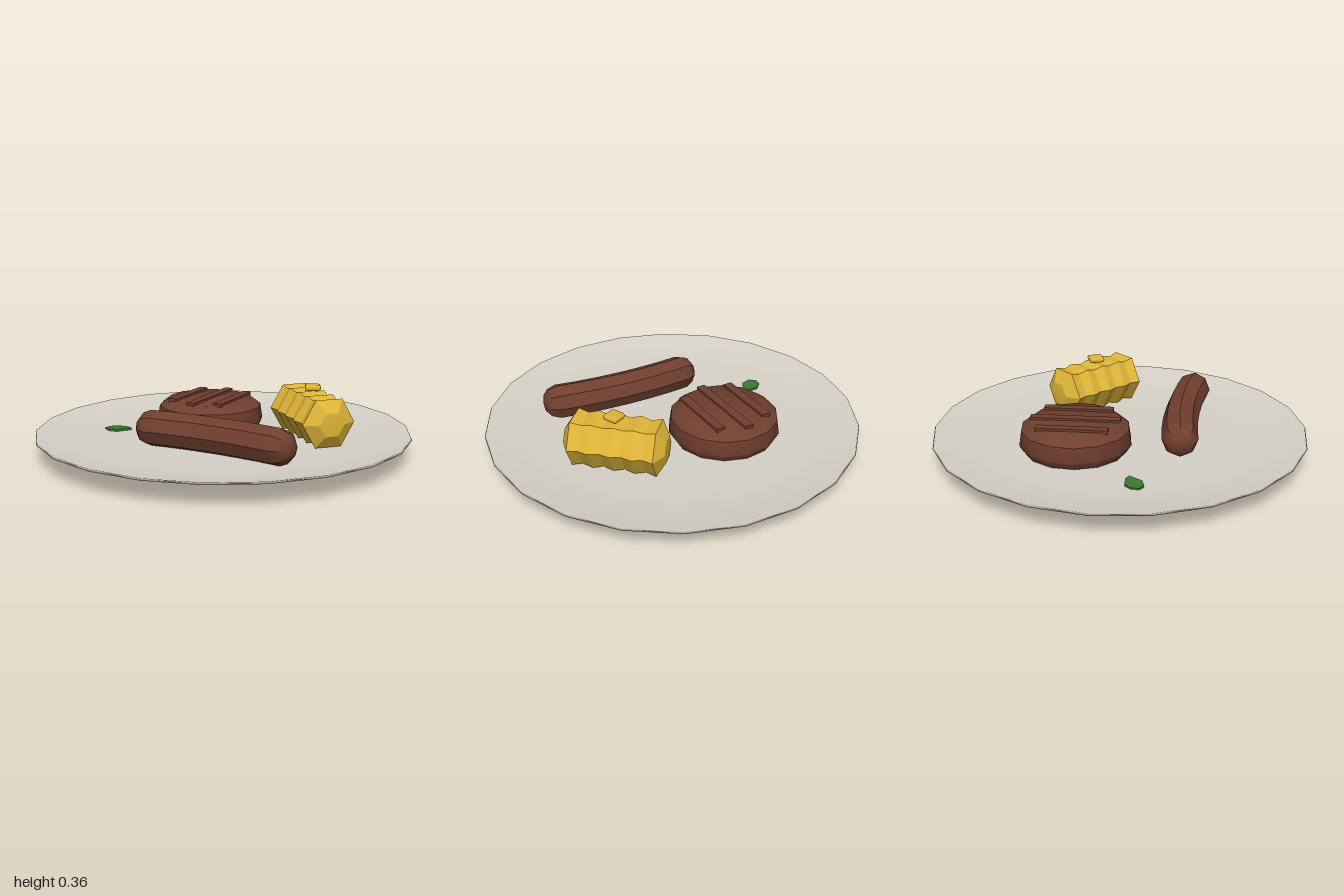
import * as THREE from 'three';
import { toCreasedNormals } from 'three/addons/utils/BufferGeometryUtils.js';
import { RoundedBoxGeometry } from 'three/addons/geometries/RoundedBoxGeometry.js';

const material = (name, color) => {
  const m = new THREE.MeshStandardMaterial({ color });
  m.name = name;
  return m;
};

// Turned solid with a corner on the x axis; profile runs from bottom centre to top centre
function turned(profile, sides) {
  const points = profile.map(([r, y]) => new THREE.Vector2(r, y));
  return new THREE.LatheGeometry(points, sides).rotateY(Math.PI / 2);
}

// Skin over upright polygon rings [x, z, radius] that follow a level path at height y;
// neighbouring rings must not share a centre
function loft(rings, y, sides) {
  const position = [], index = [];
  rings.forEach(([x, z, r], i) => {
    const a = rings[Math.max(i - 1, 0)], b = rings[Math.min(i + 1, rings.length - 1)];
    const length = Math.hypot(b[0] - a[0], b[1] - a[1]);
    const ux = (b[0] - a[0]) / length, uz = (b[1] - a[1]) / length;
    for (let j = 0; j < sides; j++) {
      const t = (j / sides) * Math.PI * 2;
      position.push(x - uz * r * Math.cos(t), y + r * Math.sin(t), z + ux * r * Math.cos(t));
      if (i === 0) continue;
      const k = (j + 1) % sides, p = (i - 1) * sides, q = i * sides;
      index.push(p + j, q + j, p + k, p + k, q + j, q + k);
    }
  });
  const g = new THREE.BufferGeometry();
  g.setAttribute('position', new THREE.Float32BufferAttribute(position, 3));
  g.setIndex(index);
  return g;
}

export function createModel() {
  const model = new THREE.Group();
  model.name = 'dinnerPlate';
  const china = material('china', 0xd6d2c8);
  const brown = material('browned meat', 0x703f2f);
  const yellow = material('corn yellow', 0xe0b638);
  const green = material('herb green', 0x3a7a30);

  const add = (name, geometry, mat, parent = model) => {
    const mesh = new THREE.Mesh(geometry, mat);
    mesh.name = name;
    parent.add(mesh);
    return mesh;
  };

  // Shallow plate
  add('plate', turned([[0, 0], [0.64, 0], [1, 0.11], [0.995, 0.12], [0.84, 0.084],
    [0.62, 0.07], [0, 0.07]], 22), china);

  // Patty with three grill marks
  const patty = new THREE.Group();
  patty.name = 'patty';
  patty.position.set(-0.25, 0, -0.14);
  model.add(patty);
  add('pattyBody', toCreasedNormals(turned([[0, 0.068], [0.27, 0.068], [0.297, 0.11],
    [0.285, 0.19], [0.235, 0.228], [0, 0.231]], 14), 0.75), brown, patty);
  for (const [offset, length] of [[-0.14, 0.37], [0, 0.47], [0.14, 0.37]]) {
    const mark = add('grillMark', new THREE.BoxGeometry(0.048, 0.02, length), brown, patty);
    mark.rotation.y = 0.33;
    mark.position.set(offset * 0.946, 0.231, -offset * 0.324);
  }

  // Bent sausage with rounded ends
  const bend = new THREE.QuadraticBezierCurve3(
    new THREE.Vector3(-0.195, 0, 0.425), new THREE.Vector3(0.21, 0, 0.235),
    new THREE.Vector3(0.675, 0, 0.19));
  const sausage = [[0, 0], [0.008, 0.045], [0.035, 0.077], [0.085, 0.095], [0.22, 0.095],
    [0.36, 0.095], [0.5, 0.095], [0.64, 0.095], [0.78, 0.095], [0.915, 0.095],
    [0.965, 0.077], [0.992, 0.045], [1, 0]].map(([t, r]) => {
    const p = bend.getPoint(t);
    return [p.x, p.z, r];
  });
  add('sausage', toCreasedNormals(loft(sausage, 0.165, 8), 0.72), brown);

  // Six-sided corn cob piece: wavy body, domed ends
  const cob = [[-0.268, 0], [-0.262, 0.07]];
  for (let i = 0; i <= 8; i++) cob.push([-0.22 + i * 0.055, i % 2 ? 0.13 : 0.145]);
  cob.push([0.262, 0.07], [0.268, 0]);
  const cobRings = cob.map(([d, r]) => [0.345 + d * 0.905, -0.32 + d * 0.425, r]);
  add('cornCob', toCreasedNormals(loft(cobRings, 0.2, 6), 0.3), yellow);

  // Butter pat
  const butter = add('butterPat', new RoundedBoxGeometry(0.084, 0.03, 0.084, 1, 0.013), yellow);
  butter.position.set(0.356, 0.349, -0.316);
  butter.rotation.y = 0.72;

  // Herb leaf
  const outline = [[-0.462, 0.262], [-0.5, 0.257], [-0.556, 0.278], [-0.578, 0.32],
    [-0.57, 0.36], [-0.53, 0.37], [-0.485, 0.342], [-0.472, 0.295]];
  const leaf = new THREE.Shape(outline.map(([x, z]) => new THREE.Vector2(x, -z)));
  add('herbLeaf', new THREE.ExtrudeGeometry(leaf, { depth: 0.012, bevelEnabled: false })
    .rotateX(-Math.PI / 2), green).position.y = 0.07;

  return model;
}
